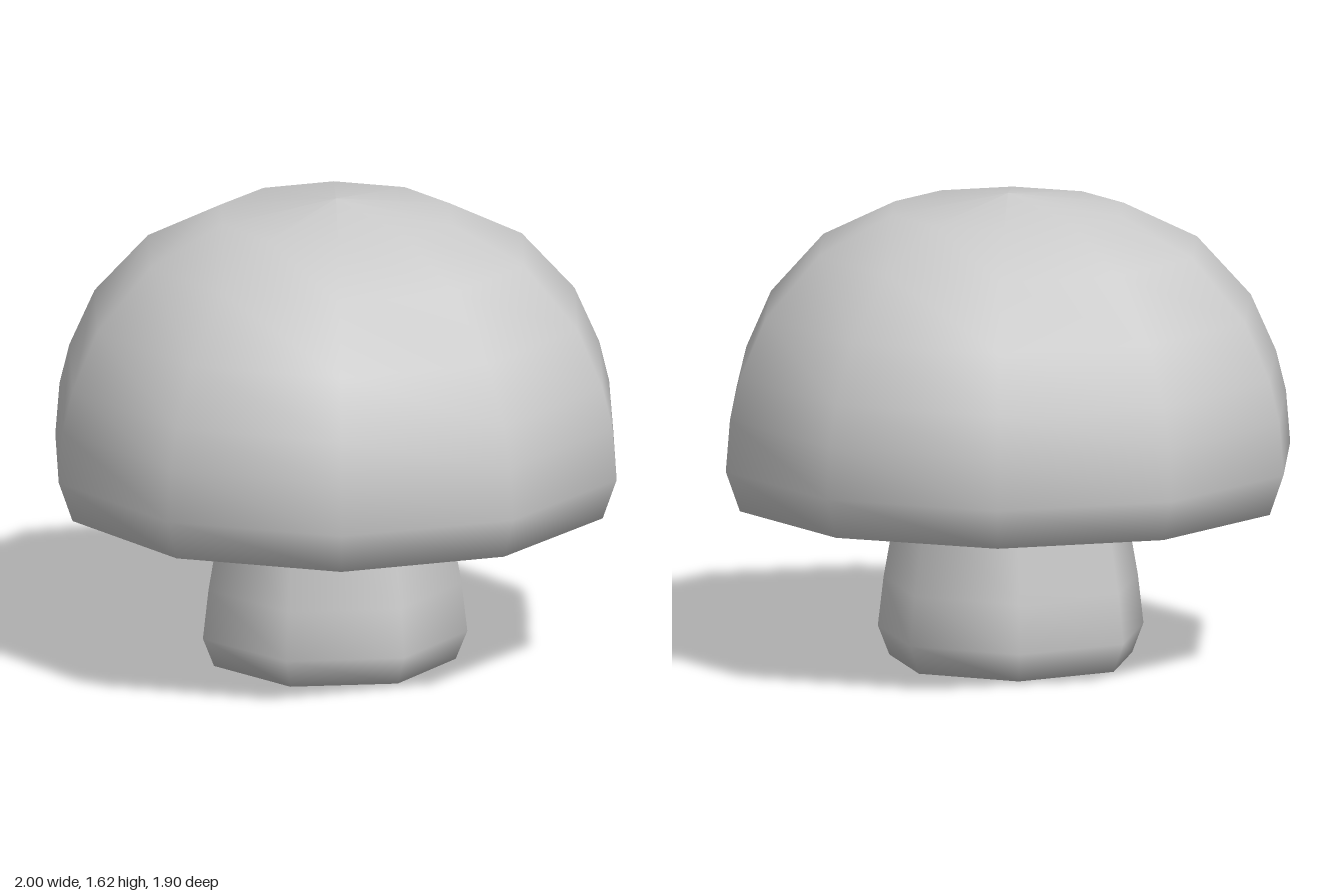
import * as THREE from 'three';

const material = new THREE.MeshStandardMaterial({ color: 0xcccccc });

// Smooth low-sided lathe; profile runs from the lower axis outwards and up, one corner on -x
function turned(name, profile, sides) {
  const points = profile.map(([r, y]) => new THREE.Vector2(r, y));
  const mesh = new THREE.Mesh(new THREE.LatheGeometry(points, sides, -Math.PI / 2), material);
  mesh.name = name;
  return mesh;
}

export function createModel() {
  const model = new THREE.Group();
  model.name = 'mushroom';

  // Ten-sided domed cap with a rounded rim
  const cap = turned('cap', [
    [0.84, 0.545], [0.95, 0.56], [1, 0.7], [0.985, 0.88], [0.95, 1.02],
    [0.86, 1.22], [0.67, 1.43], [0.41, 1.56], [0, 1.615],
  ], 10);

  // Hollow underside, with a sharp edge against the rim
  const underside = turned('capUnderside', [[0, 0.72], [0.38, 0.69], [0.84, 0.545]], 10);

  // Seven-sided stem, tapering upwards, with a bevelled foot
  const stem = turned('stem', [
    [0, 0], [0.425, 0], [0.465, 0.1], [0.445, 0.27], [0.395, 0.55], [0.37, 0.71],
  ], 7);
  stem.position.x = -0.015;

  model.add(cap, underside, stem);
  return model;
}
